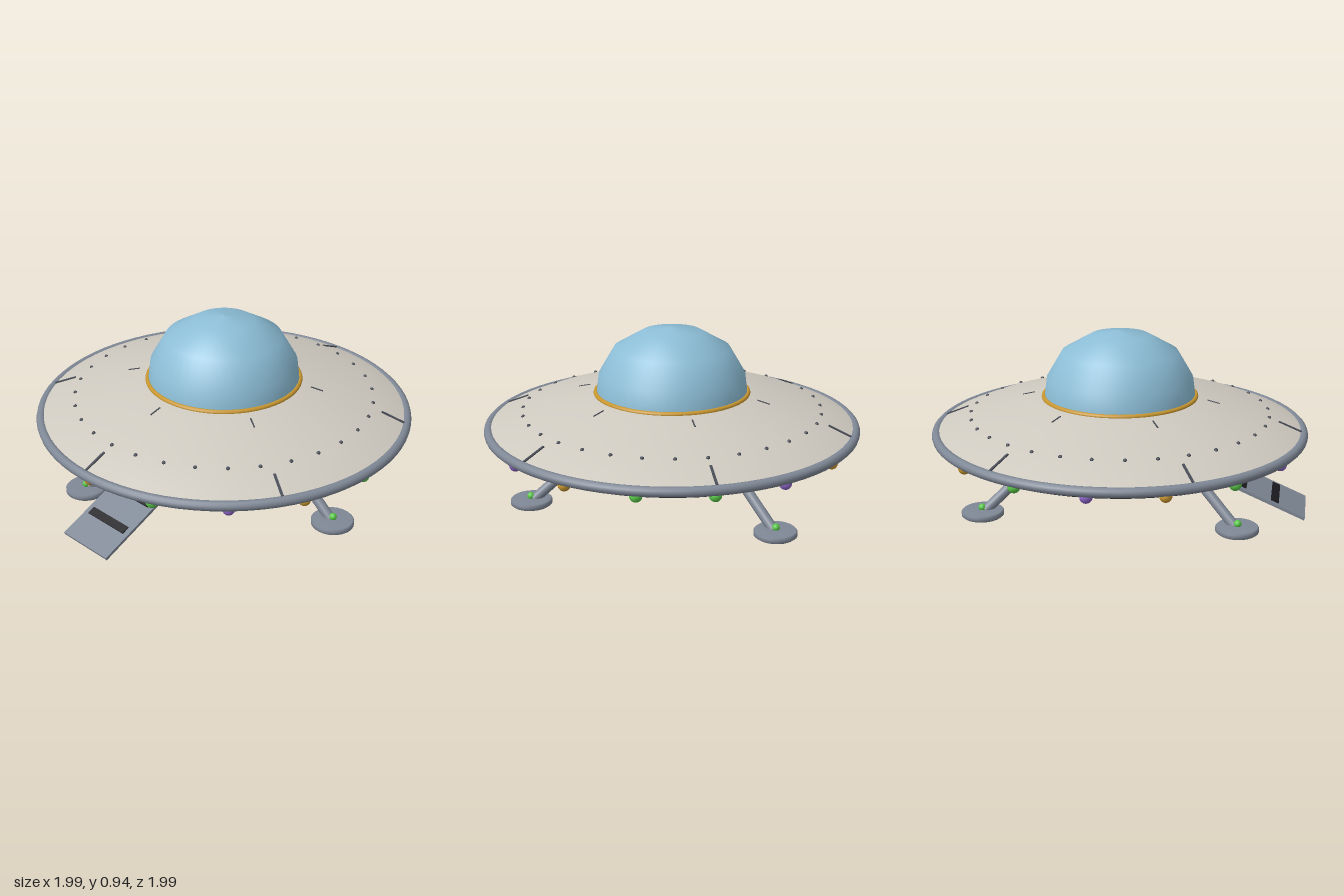
import * as THREE from 'three';

const mat = (name, color, side = THREE.FrontSide) => {
  const m = new THREE.MeshStandardMaterial({ color, side });
  m.name = name;
  return m;
};

export function createModel() {
  const hullGrey = mat('hull grey', 0xcfcac0);
  const steel = mat('steel', 0x7f8896);
  const glass = mat('dome blue', 0x8cbdd6);
  const gold = mat('gold', 0xc8962e);
  const black = mat('black', 0x1a1a20);
  const rivetGrey = mat('rivet grey', 0x4a4e58);
  const green = mat('green', 0x58c848);
  const purple = mat('purple', 0x8a62c4);

  const model = new THREE.Group();
  model.name = 'saucer';

  const add = (name, geometry, material, parent = model) => {
    const mesh = new THREE.Mesh(geometry, material);
    mesh.name = name;
    parent.add(mesh);
    return mesh;
  };
  const group = (name) => {
    const g = new THREE.Group();
    g.name = name;
    model.add(g);
    return g;
  };
  const lathe = (points, segments = 64) =>
    new THREE.LatheGeometry(points.map(([r, y]) => new THREE.Vector2(r, y)), segments);
  const ring = (name, radius, tube, y, material) => {
    const mesh = add(name, new THREE.TorusGeometry(radius, tube, 12, 80), material);
    mesh.rotation.x = Math.PI / 2;
    mesh.position.y = y;
    return mesh;
  };
  const disc = (name, radius, bottom, top, material) => {
    const mesh = add(name, new THREE.CylinderGeometry(radius, radius, top - bottom, 48), material);
    mesh.position.y = (top + bottom) / 2;
    return mesh;
  };
  // Cylinder between two points
  const rod = (name, a, b, radius, material, parent) => {
    const dir = b.clone().sub(a);
    const mesh = add(name, new THREE.CylinderGeometry(radius, radius, dir.length(), 16), material, parent);
    mesh.position.copy(a).lerp(b, 0.5);
    mesh.quaternion.setFromUnitVectors(new THREE.Vector3(0, 1, 0), dir.normalize());
    return mesh;
  };
  // Box in the x-y plane running between two points
  const slat = (name, [x1, y1], [x2, y2], thick, width, material, parent) => {
    const mesh = add(name, new THREE.BoxGeometry(Math.hypot(x2 - x1, y2 - y1), thick, width), material, parent);
    mesh.position.set((x1 + x2) / 2, (y1 + y2) / 2, 0);
    mesh.rotation.z = Math.atan2(y2 - y1, x2 - x1);
    return mesh;
  };

  // Hull
  add('upperHull', lathe([[0.97, 0.425], [0.79, 0.5], [0.46, 0.58], [0.38, 0.59]]), hullGrey);
  add('lowerHull', lathe([[0, 0.232], [0.28, 0.232], [0.755, 0.312], [0.97, 0.4]]), hullGrey);
  ring('rim', 0.97, 0.025, 0.41, steel);
  ring('lightTrack', 0.925, 0.014, 0.378, black);
  ring('bellyRing', 0.742, 0.015, 0.309, black);

  // Dome
  add('dome', lathe([[0.4, 0.585], [0.386, 0.69], [0.305, 0.828], [0.155, 0.914], [0, 0.938]], 48), glass);
  ring('domeCollar', 0.402, 0.013, 0.588, gold);

  // Belly hatch
  disc('hatchRing', 0.225, 0.195, 0.236, black);
  disc('hatchGlow', 0.18, 0.182, 0.2, purple);

  // Lights under the rim
  const lights = group('rimLights');
  const bulb = new THREE.SphereGeometry(0.031, 16, 12);
  for (let i = 0; i < 16; i++) {
    const a = (i / 16) * Math.PI * 2;
    add('rimLight', bulb, [green, purple, gold][i % 3], lights)
      .position.set(0.935 * Math.cos(a), 0.371, -0.935 * Math.sin(a));
  }

  // Rivets
  const rivets = group('rivets');
  const rivet = new THREE.SphereGeometry(0.01, 8, 6);
  for (let i = 0; i < 32; i++) {
    const a = (i / 32) * Math.PI * 2;
    add('rivet', rivet, rivetGrey, rivets).position.set(0.79 * Math.cos(a), 0.5, 0.79 * Math.sin(a));
  }

  // Panel seams
  for (let i = 0; i < 6; i++) {
    const seam = group('panelSeam');
    seam.rotation.y = (i * Math.PI) / 3;
    slat('outerSeam', [0.84, 0.48], [0.96, 0.431], 0.009, 0.012, rivetGrey, seam);
    slat('innerSeam', [0.465, 0.579], [0.53, 0.563], 0.006, 0.007, rivetGrey, seam);
  }

  // Landing legs, each built along +x and turned
  const padShape = lathe([[0, 0.008], [0.1, 0.008], [0.11, 0.016], [0.11, 0.035], [0.102, 0.043], [0, 0.043]], 32);
  const strutPath = new THREE.CatmullRomCurve3([
    new THREE.Vector3(0.56, 0.2, 0), new THREE.Vector3(0.47, 0.215, 0), new THREE.Vector3(0.34, 0.255, 0),
  ]);
  for (const degrees of [30, 150, 270]) {
    const leg = group('landingLeg');
    leg.rotation.y = THREE.MathUtils.degToRad(degrees);
    add('footPad', padShape, steel, leg).position.x = 0.765;
    rod('legTube', new THREE.Vector3(0.75, 0.035, 0), new THREE.Vector3(0.455, 0.28, 0), 0.027, steel, leg);
    add('brace', new THREE.TubeGeometry(strutPath, 12, 0.014, 10), hullGrey, leg);
    add('footLight', new THREE.SphereGeometry(0.02, 12, 10), green, leg).position.set(0.767, 0.053, 0);
  }

  // Boarding ramp on the right side
  const ramp = group('ramp');
  slat('rampPlate', [-0.997, 0.008], [-0.4, 0.262], 0.015, 0.32, steel, ramp);
  for (const x of [-0.84, -0.67, -0.5]) {
    const y = (t) => 0.018 + (t + 0.997) * 0.4255;
    slat('rampTread', [x - 0.02, y(x - 0.02)], [x + 0.02, y(x + 0.02)], 0.008, 0.26, black, ramp);
  }

  return model;
}
